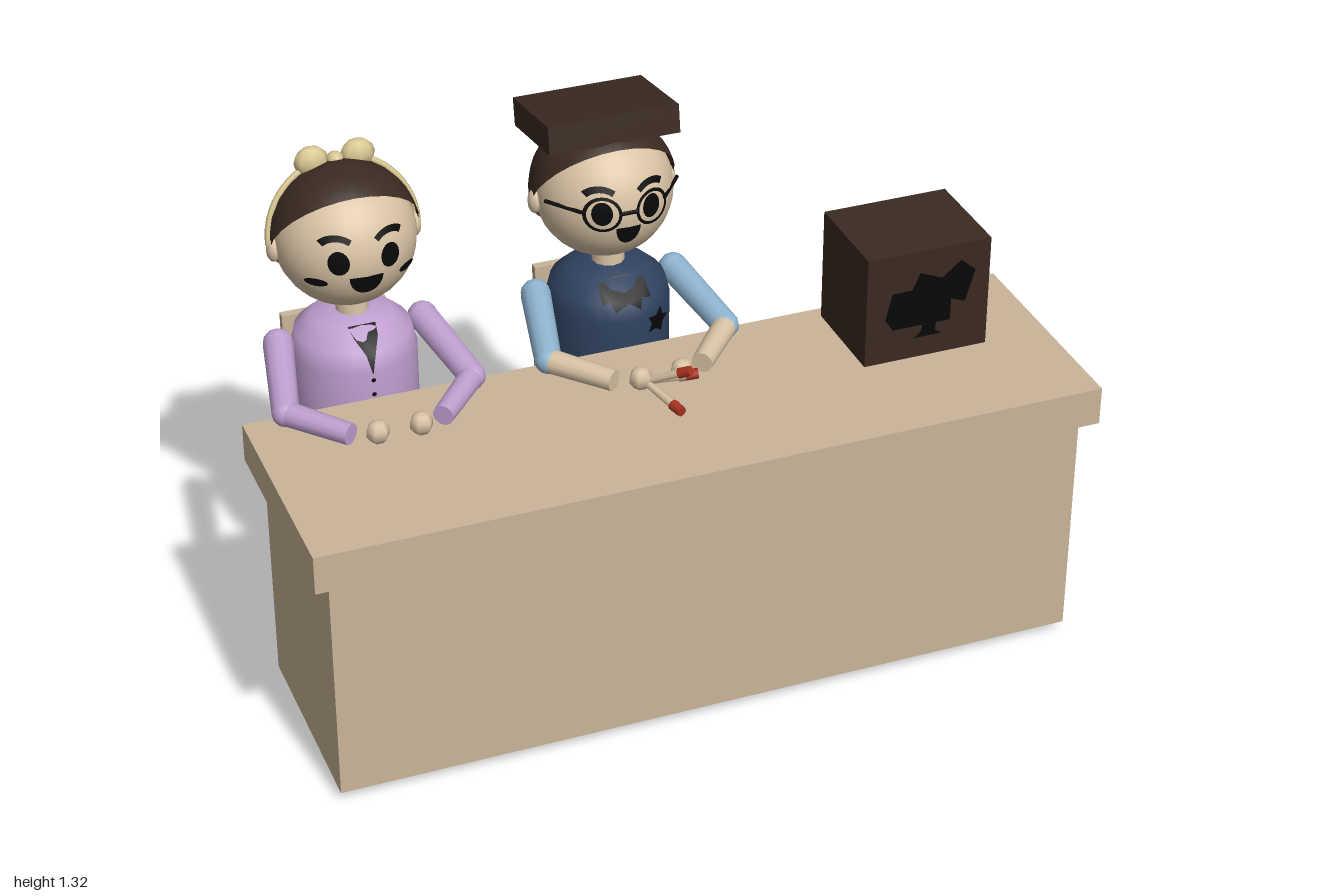
import * as THREE from 'three';

const mat = (name, color) => {
  const m = new THREE.MeshStandardMaterial({ color });
  m.name = name;
  return m;
};

export function createModel() {
  const skin = mat('skin', 0xd9c3a5), wood = mat('wood', 0xcab499), brown = mat('dark brown', 0x3a2a21);
  const navy = mat('navy', 0x2f4260), sky = mat('light blue', 0x8fb4d0), lilac = mat('lilac', 0xbf9fd0);
  const cream = mat('pale yellow', 0xd8c792), red = mat('red', 0xa83220), black = mat('black', 0x080808);
  black.side = THREE.DoubleSide;
  brown.side = THREE.DoubleSide;

  const model = new THREE.Group();
  const V = (x, y, z) => new THREE.Vector3(x, y, z);

  const add = (parent, name, geo, m, x = 0, y = 0, z = 0) => {
    const mesh = new THREE.Mesh(geo, m);
    mesh.name = name;
    mesh.position.set(x, y, z);
    parent.add(mesh);
    return mesh;
  };
  // Box given by its limits
  const box = (parent, name, m, x0, x1, y0, y1, z0, z1) =>
    add(parent, name, new THREE.BoxGeometry(x1 - x0, y1 - y0, z1 - z0), m, (x0 + x1) / 2, (y0 + y1) / 2, (z0 + z1) / 2);
  // Cylinder between two points
  const limb = (parent, name, m, a, b, r0, r1 = r0, sides = 12) => {
    const d = b.clone().sub(a);
    const mesh = add(parent, name, new THREE.CylinderGeometry(r1, r0, d.length(), sides), m);
    mesh.position.copy(a).addScaledVector(d, 0.5);
    mesh.quaternion.setFromUnitVectors(V(0, 1, 0), d.normalize());
    return mesh;
  };
  const ball = (parent, name, m, p, rx, ry = rx, rz = rx, w = 12, h = 8) => {
    const mesh = add(parent, name, new THREE.SphereGeometry(1, w, h), m, ...p);
    mesh.scale.set(rx, ry, rz);
    return mesh;
  };
  const polygon = pts => new THREE.ShapeGeometry(new THREE.Shape(pts.map(p => new THREE.Vector2(...p))));
  // Lay a flat geometry onto a curved surface z = f(x, y)
  const drape = (geo, f) => {
    const p = geo.attributes.position;
    for (let i = 0; i < p.count; i++) p.setZ(i, f(p.getX(i), p.getY(i)));
    geo.computeVertexNormals();
    return geo;
  };

  // Desk
  const desk = new THREE.Group();
  desk.name = 'desk';
  model.add(desk);
  box(desk, 'deskTop', wood, -1, 1, 0.635, 0.735, -0.09, 0.51);
  box(desk, 'frontPanel', wood, -0.96, 0.96, 0.025, 0.635, 0.46, 0.48);
  for (const s of [-1, 1]) box(desk, 'sidePanel', wood, s * 0.95 - 0.01, s * 0.95 + 0.01, 0.025, 0.635, -0.06, 0.46);

  // Dark box with a camera silhouette on its front
  box(model, 'computerBox', brown, 0.5, 0.83, 0.735, 1.035, -0.055, 0.21);
  add(model, 'cameraSilhouette', polygon([
    [0.55, 0.858], [0.572, 0.826], [0.652, 0.826], [0.647, 0.805], [0.63, 0.792], [0.706, 0.792], [0.686, 0.805],
    [0.69, 0.826], [0.727, 0.826], [0.727, 0.885], [0.765, 0.87], [0.79, 0.955], [0.75, 0.99], [0.7, 0.95],
    [0.64, 0.975], [0.62, 0.93], [0.567, 0.93]]), black, 0, 0, 0.213);

  // Head and torso measures
  const HY = 1.093, HZ = -0.283, HR = 0.175, TZ = -0.257;
  const profile = [[0, 0.545], [0.11, 0.55], [0.145, 0.58], [0.157, 0.65], [0.157, 0.8], [0.145, 0.85], [0.1, 0.89], [0.04, 0.905], [0, 0.905]];
  const onHead = (lift = 0.004) => (x, y) =>
    HZ + Math.sqrt(Math.max(0, (HR + lift) ** 2 - x * x - (y - HY) ** 2));
  const onTorso = (x, y) => {
    let r = 0.04;
    for (let i = 1; i < profile.length - 1; i++) {
      const [r0, y0] = profile[i - 1], [r1, y1] = profile[i];
      if (y >= y0 && y <= y1) r = r0 + (r1 - r0) * (y - y0) / (y1 - y0);
    }
    return TZ + Math.sqrt(Math.max(0, r * r - x * x)) + 0.009;
  };

  // Seated person with stool, shared by both figures
  function person(name, x, shirt, sleeve, forearm) {
    const g = new THREE.Group();
    g.name = name;
    g.position.x = x;
    model.add(g);

    box(g, 'stoolSeat', wood, -0.135, 0.135, 0.467, 0.49, -0.445, -0.185);
    box(g, 'stoolBack', wood, -0.135, 0.135, 0.5, 0.81, -0.443, -0.42);
    box(g, 'stoolPost', brown, -0.015, 0.015, 0, 0.467, -0.328, -0.298);

    add(g, 'torso', new THREE.LatheGeometry(profile.map(p => new THREE.Vector2(...p)), 24), shirt, 0, 0, TZ);
    limb(g, 'neck', skin, V(0, 0.88, -0.25), V(0, 0.96, -0.255), 0.042);
    ball(g, 'head', skin, [0, HY, HZ], HR, HR, HR, 28, 20);
    const hair = add(g, 'hair', new THREE.SphereGeometry(0.186, 28, 10, 0, Math.PI * 2, 0, Math.PI / 2), brown, 0, HY, HZ);
    hair.rotation.x = -0.945;

    for (const s of [-1, 1]) {
      // Arms
      const shoulder = V(s * 0.185, 0.825, -0.275), elbow = V(s * 0.235, 0.772, -0.045), wrist = V(s * 0.115, 0.768, 0.095);
      limb(g, 'upperArm', sleeve, shoulder, elbow, 0.038, 0.034);
      ball(g, 'shoulder', sleeve, shoulder.toArray(), 0.038);
      ball(g, 'elbow', sleeve, elbow.toArray(), 0.034);
      limb(g, 'forearm', forearm, elbow, wrist, 0.031, 0.027);
      ball(g, 'hand', skin, [s * 0.054, 0.773, 0.115], 0.03, 0.03, 0.03, 6, 5);
      // Legs
      const hip = V(s * 0.08, 0.54, -0.255), knee = V(s * 0.08, 0.54, 0), ankle = V(s * 0.08, 0.06, 0.015);
      limb(g, 'thigh', navy, hip, knee, 0.046, 0.042);
      ball(g, 'knee', navy, knee.toArray(), 0.042);
      limb(g, 'shin', navy, knee, ankle, 0.042, 0.036);
      ball(g, 'shoe', brown, [s * 0.08, 0.036, 0.035], 0.033, 0.036, 0.06, 8, 6);
      // Ear, eye and brow
      ball(g, 'ear', skin, [s * 0.178, 1.08, -0.29], 0.018, 0.032, 0.023, 8, 6);
      const eye = new THREE.CircleGeometry(1, 18).scale(0.025, 0.031, 1).translate(s * 0.064, 1.108, 0);
      add(g, 'eye', drape(eye, onHead()), black);
      const brow = new THREE.RingGeometry(0.045, 0.06, 10, 1, 0.9, 1.4).translate(s * 0.066, 1.117, 0);
      add(g, 'brow', drape(brow, onHead(0.006)), black);
    }
    return g;
  }

  // Smiling mouth: rounded wedge of a given half width and depth
  const mouth = (g, w, depth) => {
    const geo = new THREE.CircleGeometry(1, 16, Math.PI, Math.PI).scale(w, depth, 1).translate(0, 1.068, 0);
    add(g, 'mouth', drape(geo, onHead(0.007)), black);
  };

  // Woman with bun, hair bow and lilac top
  const woman = person('woman', -0.667, lilac, lilac, lilac);
  mouth(woman, 0.042, 0.05);
  for (const s of [-1, 1]) {
    const cheek = new THREE.CircleGeometry(1, 12).scale(0.024, 0.012, 1).translate(s * 0.113, 1.05, 0);
    add(woman, 'cheek', drape(cheek, onHead()), black);
    ball(woman, 'bowLoop', cream, [s * 0.058, 1.272, -0.34], 0.044, 0.04, 0.028, 8, 6);
  }
  ball(woman, 'bowKnot', cream, [0, 1.27, -0.335], 0.022, 0.02, 0.022, 8, 6);
  ball(woman, 'hairBun', brown, [0, 0.98, -0.45], 0.068, 0.068, 0.06, 8, 6);
  const band = add(woman, 'headband', new THREE.TorusGeometry(0.187, 0.009, 6, 28, Math.PI), cream, 0, HY, HZ - 0.01);
  band.rotation.x = -0.27;
  add(woman, 'collarPoint', drape(polygon([[-0.035, 0.895], [-0.03, 0.88], [-0.012, 0.85], [0, 0.8], [0.012, 0.85], [0.03, 0.88], [0.035, 0.895]]), onTorso), black);
  for (let i = 0; i < 4; i++) {
    const button = new THREE.CircleGeometry(0.006, 8).translate(0, 0.785 - i * 0.04, 0);
    add(woman, 'button', drape(button, onTorso), black);
  }

  // Man with flat cap, glasses and vest
  const man = person('man', 0, navy, sky, skin);
  mouth(man, 0.032, 0.05);
  const cap = add(man, 'flatCap', new THREE.BoxGeometry(0.34, 0.073, 0.26), brown, 0, 1.267, -0.328);
  cap.rotation.x = -0.16;
  for (const s of [-1, 1]) {
    const rim = new THREE.RingGeometry(0.038, 0.046, 24).translate(s * 0.064, 1.108, 0);
    add(man, 'glassesRim', drape(rim, onHead(0.01)), black);
    limb(man, 'glassesTemple', black, V(s * 0.108, 1.11, -0.142), V(s * 0.174, 1.113, -0.225), 0.005, 0.005, 6);
  }
  limb(man, 'glassesBridge', black, V(-0.022, 1.11, -0.099), V(0.022, 1.11, -0.099), 0.005, 0.005, 6);
  // Bow tie on the sloping collar and a badge on the chest
  add(man, 'bowTie', drape(polygon([
    [-0.06, 0.885], [-0.065, 0.85], [-0.045, 0.855], [-0.035, 0.83], [0, 0.85], [0.03, 0.83], [0.04, 0.855],
    [0.063, 0.85], [0.06, 0.885], [0.02, 0.895], [-0.02, 0.895]]), onTorso), black);
  const star = [];
  for (let i = 0; i < 10; i++) {
    const a = i * Math.PI / 5, r = i % 2 ? 0.02 : 0.036;
    star.push([0.08 + r * Math.cos(a), 0.78 + r * Math.sin(a)]);
  }
  add(man, 'chestBadge', drape(polygon(star), onTorso), black);

  // Red-tipped sticks fanned out of the hand
  const grip = V(-0.045, 0.765, 0.12);
  for (const tip of [V(-0.004, 0.75, 0.26), V(0.04, 0.825, 0.205), V(0.08, 0.782, 0.158)]) {
    const neck = grip.clone().lerp(tip, 0.76);
    limb(man, 'stick', skin, grip, neck, 0.009, 0.011, 8);
    limb(man, 'stickTip', red, neck, tip, 0.014, 0.013, 8);
  }
  return model;
}
